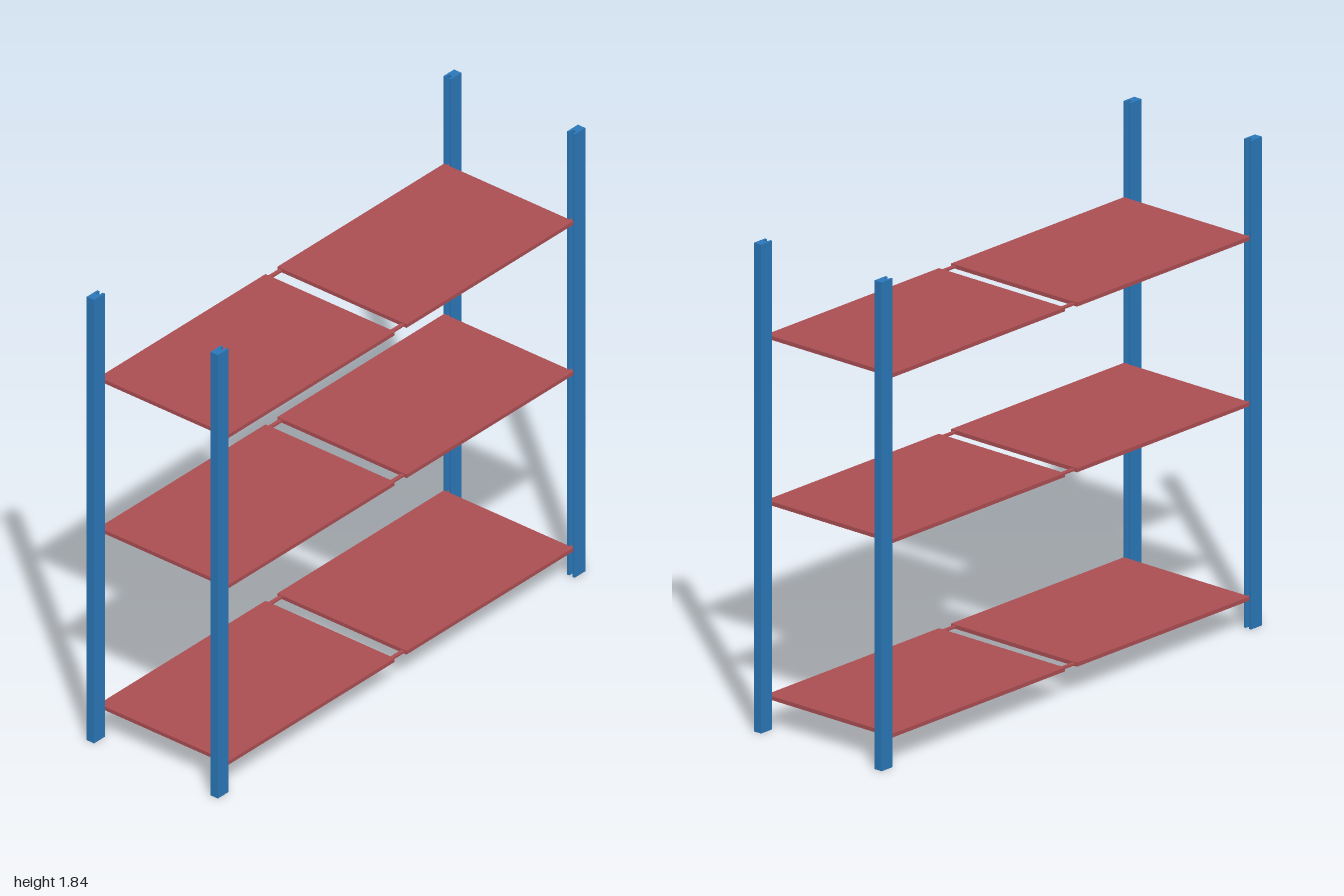
import * as THREE from 'three';

export function createModel() {
  const model = new THREE.Group();
  model.name = 'shelvingRack';
  const blue = new THREE.MeshStandardMaterial({ name: 'blue post', color: 0x2b79bb });
  const red = new THREE.MeshStandardMaterial({ name: 'red shelf', color: 0xad4f54 });

  const POST_HEIGHT = 1.835;
  const POST_X = 0.286, POST_OUTER = 1, POST_INNER = 0.942;

  // Post profile: a bar with a slot down its inner side (slot faces shape -y)
  const w = 0.017, s = 0.008, d = POST_OUTER - POST_INNER, slot = 0.02;
  const profile = new THREE.Shape([
    [-w, 0], [-s, 0], [-s, slot], [s, slot], [s, 0], [w, 0], [w, d], [-w, d],
  ].map(([x, y]) => new THREE.Vector2(x, y)));
  const postGeometry = new THREE.ExtrudeGeometry(profile, { depth: POST_HEIGHT, bevelEnabled: false });
  postGeometry.rotateX(-Math.PI / 2); // extrusion now runs upwards, slot faces +z

  // Four corner posts, slots turned inwards
  for (const side of [-1, 1]) {
    for (const end of [-1, 1]) {
      const post = new THREE.Mesh(postGeometry, blue);
      post.name = (end > 0 ? 'front' : 'back') + (side > 0 ? 'Left' : 'Right') + 'Post';
      post.position.set(side * POST_X, 0, end * POST_INNER);
      post.rotation.y = end > 0 ? Math.PI : 0;
      model.add(post);
    }
  }

  // Three levels, each with two panels joined by a pair of thin rails
  const panelGeometry = new THREE.BoxGeometry(0.597, 0.015, 0.908);
  const railGeometry = new THREE.BoxGeometry(0.015, 0.007, 1.92);
  [['lower', 0.116], ['middle', 0.846], ['upper', 1.468]].forEach(([name, y]) => {
    const level = new THREE.Group();
    level.name = name + 'Shelf';
    level.position.y = y;
    for (const sign of [-1, 1]) {
      const panel = new THREE.Mesh(panelGeometry, red);
      panel.name = sign > 0 ? 'frontPanel' : 'backPanel';
      panel.position.z = sign * 0.486;
      const rail = new THREE.Mesh(railGeometry, red);
      rail.name = sign > 0 ? 'leftRail' : 'rightRail';
      rail.position.x = sign * 0.282;
      level.add(panel, rail);
    }
    model.add(level);
  });

  return model;
}
